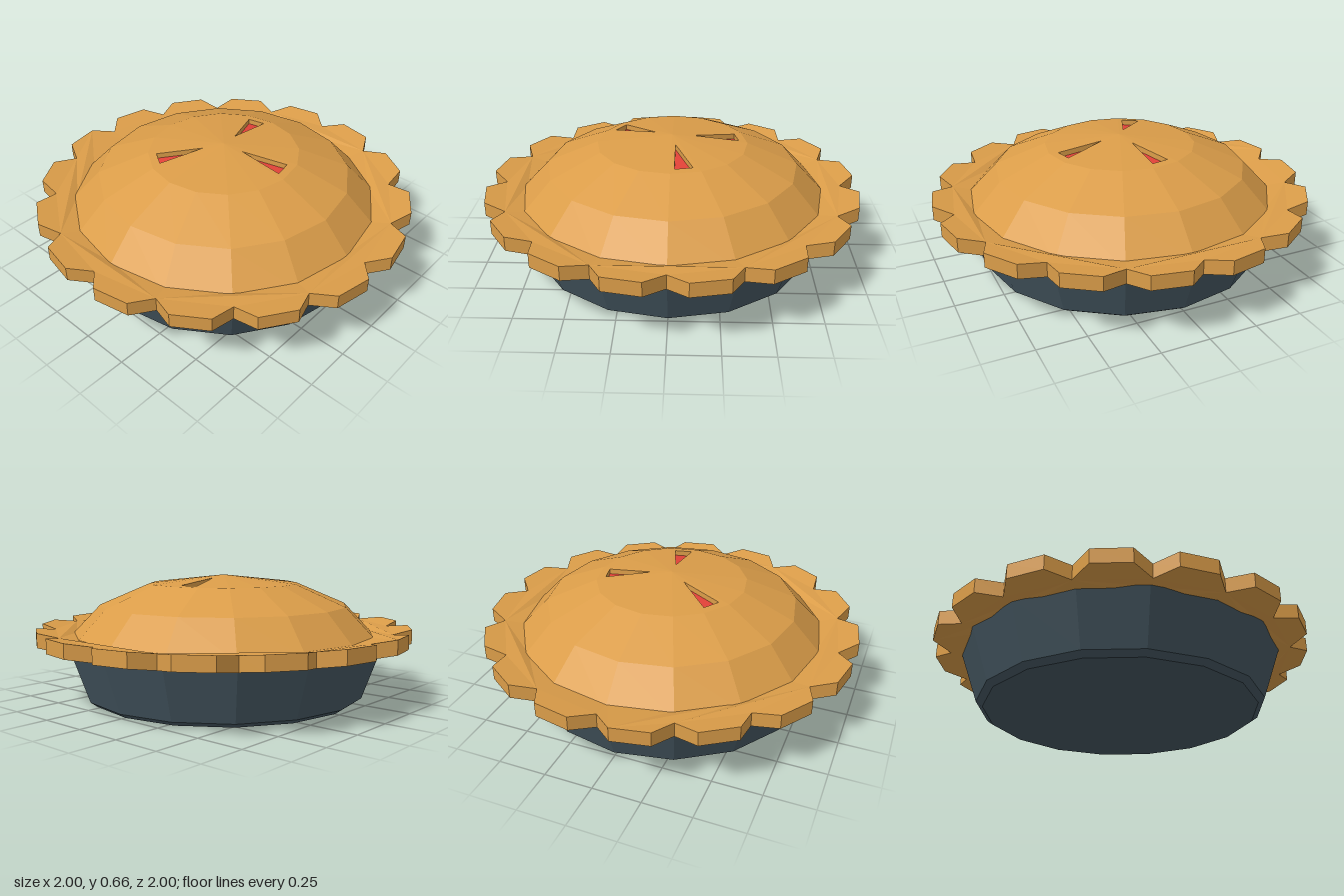
import * as THREE from 'three';

const SIDES = 16;
const STEP = (Math.PI * 2) / SIDES;
const V2 = (x, y) => new THREE.Vector2(x, y);
const polar = (r, a) => V2(r * Math.cos(a), r * Math.sin(a));

const mat = (color, side = THREE.FrontSide) =>
  new THREE.MeshStandardMaterial({ color, flatShading: true, side });
const pastry = mat(0xdb9d49);
const metal = mat(0x455761);
const filling = mat(0xe24238);
const pastryWall = mat(0xdb9d49, THREE.DoubleSide);

function named(name, geometry, material) {
  const mesh = new THREE.Mesh(geometry, material);
  mesh.name = name;
  return mesh;
}

const lathe = (pts) => new THREE.LatheGeometry(pts.map(([x, y]) => V2(x, y)), SIDES);

// Changes the height of every vertex by a rule
function lift(geometry, rule) {
  const p = geometry.attributes.position;
  for (let i = 0; i < p.count; i++) p.setY(i, p.getY(i) + rule(p.getX(i), p.getZ(i)));
  geometry.computeVertexNormals();
  return geometry;
}

// Height of the lid's central cone on the facet between angle 0 and STEP
const CAP_R = 0.4, CAP_Y = 0.615, TOP_Y = 0.66;
function facetHeight(x, z) {
  const along = x * Math.cos(STEP / 2) - z * Math.sin(STEP / 2);
  return TOP_Y - (TOP_Y - CAP_Y) * along / (CAP_R * Math.cos(STEP / 2));
}

// Steam slit, drawn inside one facet of the cap
const SLIT = [V2(0.11, 0.02), V2(0.355, 0.02), V2(0.335, 0.112)];
const SLIT_DEPTH = 0.028;

function capFacet(hasSlit) {
  const shape = new THREE.Shape([V2(0, 0), polar(CAP_R, 0), polar(CAP_R, STEP)]);
  if (hasSlit) shape.holes.push(new THREE.Path(SLIT));
  return lift(new THREE.ShapeGeometry(shape).rotateX(-Math.PI / 2), facetHeight);
}

function slitFloor() {
  const g = new THREE.ShapeGeometry(new THREE.Shape(SLIT)).rotateX(-Math.PI / 2);
  return lift(g, (x, z) => facetHeight(x, z) - SLIT_DEPTH);
}

function slitWalls() {
  const at = (p, drop) => new THREE.Vector3(p.x, facetHeight(p.x, -p.y) - drop, -p.y);
  const points = [];
  SLIT.forEach((a, i) => {
    const b = SLIT[(i + 1) % SLIT.length];
    const [a0, b0, a1, b1] = [at(a, 0), at(b, 0), at(a, SLIT_DEPTH), at(b, SLIT_DEPTH)];
    points.push(a0, b0, b1, a0, b1, a1);
  });
  const g = new THREE.BufferGeometry().setFromPoints(points);
  g.computeVertexNormals();
  return g;
}

// Scalloped ring that rises slightly towards its outer edge
function crustGeometry() {
  const outline = [], hole = [];
  for (let i = 0; i < SIDES; i++) {
    const a = i * STEP;
    outline.push(polar(0.912, a), polar(1.005, a + STEP * 0.257), polar(1.005, a + STEP * 0.743));
    hole.push(polar(0.8, a));
  }
  const shape = new THREE.Shape(outline);
  shape.holes.push(new THREE.Path(hole));
  const g = new THREE.ExtrudeGeometry(shape, { depth: 0.075, bevelEnabled: false });
  g.rotateX(-Math.PI / 2);
  return lift(g, (x, z) => 0.31 + 0.18 * (Math.hypot(x, z) - 1.005));
}

export function createModel() {
  const model = new THREE.Group();
  model.name = 'pie';

  // Dish with a small bevel around the base
  model.add(named('dish', lathe([[0, 0], [0.725, 0], [0.76, 0.025], [0.862, 0.31]]), metal));

  // Crimped rim
  model.add(named('crustRim', crustGeometry(), pastry));

  // Domed lid: sloping bands, then a cap of flat facets
  const lid = new THREE.Group();
  lid.name = 'lid';
  lid.add(named('lidBands', lathe([[0.84, 0.322], [0.67, 0.5], [CAP_R, CAP_Y]]), pastry));
  const slitFacets = [0, 4, 10];
  for (let i = 0; i < SIDES; i++) {
    const facet = new THREE.Group();
    const hasSlit = slitFacets.includes(i);
    facet.name = hasSlit ? 'slitFacet' : 'lidFacet';
    facet.add(named('facetTop', capFacet(hasSlit), pastry));
    if (hasSlit) {
      facet.add(named('slitWalls', slitWalls(), pastryWall));
      facet.add(named('slitFilling', slitFloor(), filling));
    }
    facet.rotation.y = i * STEP;
    lid.add(facet);
  }
  model.add(lid);
  return model;
}
